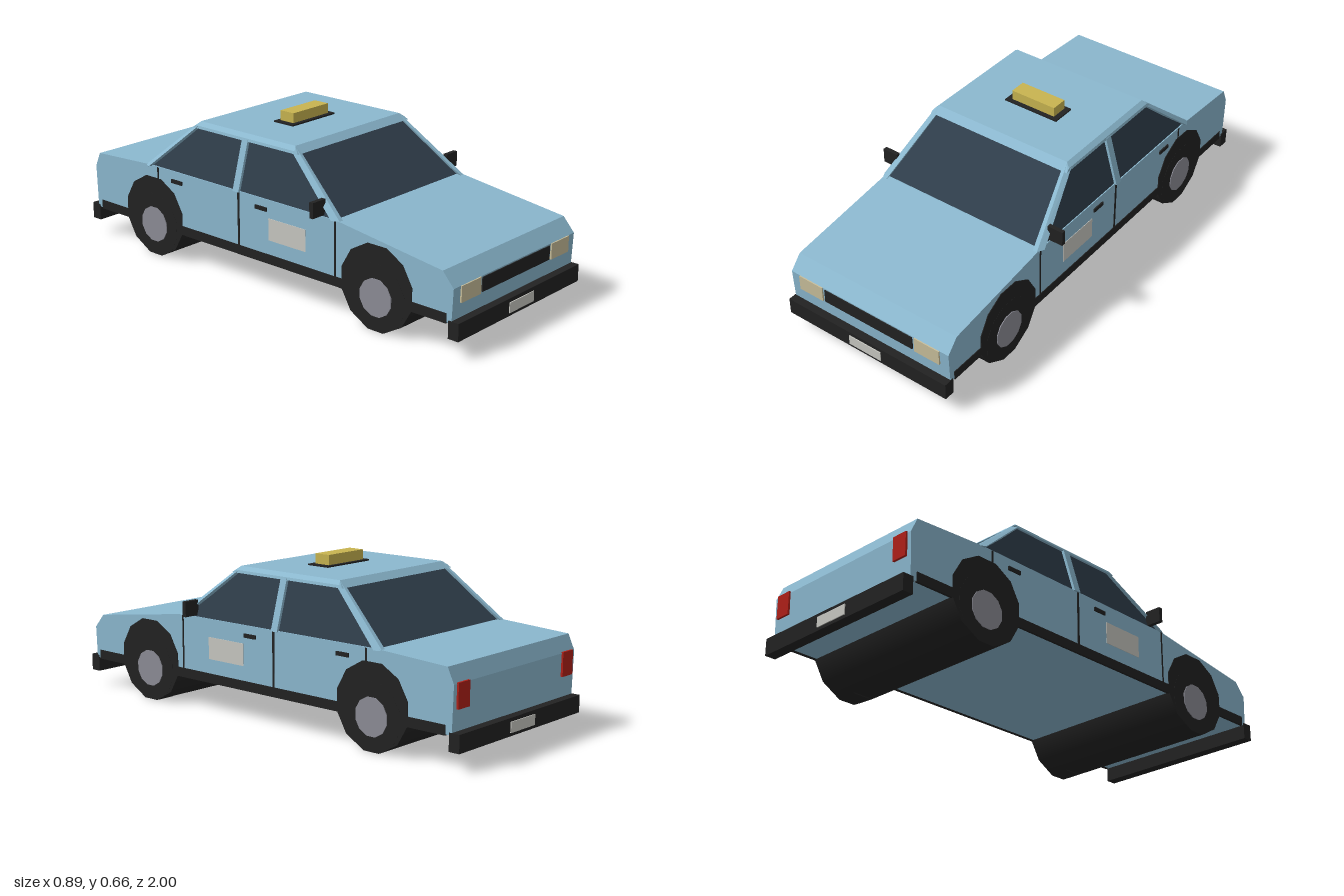
import * as THREE from 'three';
import { ConvexGeometry } from 'three/addons/geometries/ConvexGeometry.js';

const paint = (name, color) => {
  const m = new THREE.MeshStandardMaterial({ color });
  m.name = name;
  return m;
};

export function createModel() {
  const blue = paint('bodyBlue', 0x8bb8cf);
  const glass = paint('darkGlass', 0x2f3d4a);
  const black = paint('trimBlack', 0x222222);
  const yellow = paint('signYellow', 0xc8b450);
  const cream = paint('headlightCream', 0xc8be9a);
  const white = paint('plateWhite', 0xc8c8c2);
  const grey = paint('hubGrey', 0x8c8c96);
  const red = paint('tailRed', 0xb02018);

  const car = new THREE.Group();
  car.name = 'sedan';
  const add = (name, geometry, material) => {
    const mesh = new THREE.Mesh(geometry, material);
    mesh.name = name;
    car.add(mesh);
    return mesh;
  };
  // Box given by its limits on each axis
  const box = (name, mat, [x0, x1], [y0, y1], [z0, z1]) => {
    const g = new THREE.BoxGeometry(Math.abs(x1 - x0), y1 - y0, z1 - z0);
    return add(name, g.translate((x0 + x1) / 2, (y0 + y1) / 2, (z0 + z1) / 2), mat);
  };
  // Convex solid through a few corner points
  const hull = (name, mat, pts) =>
    add(name, new ConvexGeometry(pts.map((p) => new THREE.Vector3(...p))), mat);
  // The same corners on both sides of the car
  const bothX = (pts) => pts.flatMap(([x, y, z]) => [[x, y, z], [-x, y, z]]);
  // Cylinder lying across the car, with flats at top and bottom
  const axle = (name, mat, r, x0, x1, y, z) => {
    const g = new THREE.CylinderGeometry(r, r, Math.abs(x1 - x0), 12, 1, false, Math.PI / 12);
    return add(name, g.rotateZ(Math.PI / 2).translate((x0 + x1) / 2, y, z), mat);
  };

  // Lower body: side profile (z, y) swept across the width
  const W = 0.387;
  const profile = [[0.962, 0.13], [0.968, 0.265], [0.918, 0.322], [0.415, 0.39],
    [-0.61, 0.393], [-0.938, 0.376], [-0.966, 0.315], [-0.96, 0.13]];
  const shape = new THREE.Shape(profile.map((p) => new THREE.Vector2(...p)));
  const body = new THREE.ExtrudeGeometry(shape, { depth: 2 * W, bevelEnabled: false });
  add('lowerBody', body.rotateY(-Math.PI / 2).translate(W, 0, 0), blue);

  // Cabin glass and roof
  hull('cabinGlass', glass, bothX([
    [0.386, 0.38, 0.422], [0.386, 0.38, -0.63],
    [0.322, 0.6, 0.145], [0.322, 0.6, -0.37]]));
  hull('roof', blue, bothX([
    [0.315, 0.61, 0.145], [0.315, 0.61, -0.375],
    [0.334, 0.595, 0.158], [0.334, 0.595, -0.388],
    [0.337, 0.584, 0.176], [0.337, 0.584, -0.404]]));

  // Bumpers and number plates at both ends
  for (const s of [1, -1]) {
    const span = (a, b) => (s > 0 ? [a, b] : [-b, -a]);
    const end = s > 0 ? 'front' : 'rear';
    box(end + 'Bumper', black, [-0.39, 0.39], [0.07, 0.14], span(0.95, 0.996));
    box(end + 'Plate', white, [-0.078, 0.078], [0.083, 0.125], span(0.992, 1));
  }
  box('grille', black, [-0.216, 0.216], [0.203, 0.26], [0.962, 0.972]);

  for (const s of [1, -1]) {
    const side = s > 0 ? 'left' : 'right';
    const X = (a, b) => [s * a, s * b];

    // Slanted corner pillars, front and rear
    const pillar = (name, zBase, zTop, d) => hull(side + name, blue, [
      [0.4, 0.388, zBase - d * 0.03], [0.385, 0.388, zBase], [0.366, 0.388, zBase],
      [0.37, 0.388, zBase - d * 0.04],
      [0.336, 0.592, zTop - d * 0.005], [0.318, 0.606, zTop], [0.308, 0.59, zTop + d * 0.018],
      [0.312, 0.58, zTop - d * 0.01]].map(([x, y, z]) => [s * x, y, z]));
    pillar('FrontPillar', 0.432, 0.15, 1);
    pillar('RearPillar', -0.64, -0.38, -1);

    // Upright pillar between the doors
    hull(side + 'MiddlePillar', blue, [-0.09, -0.122].flatMap((z) => [
      [s * 0.395, 0.388, z], [s * 0.37, 0.388, z], [s * 0.337, 0.59, z], [s * 0.31, 0.59, z]]));

    // Sill, door gaps, handles and door panel
    box(side + 'Sill', black, X(0.38, 0.39), [0.126, 0.165], [-0.933, 0.94]);
    box(side + 'FrontDoorGap', black, X(0.382, 0.389), [0.165, 0.388], [0.409, 0.416]);
    box(side + 'MiddleDoorGap', black, X(0.382, 0.389), [0.165, 0.388], [-0.102, -0.092]);
    box(side + 'RearDoorGap', black, X(0.382, 0.389), [0.3, 0.39], [-0.57, -0.562]);
    for (const z of [0.028, -0.452])
      box(side + 'DoorHandle', black, X(0.384, 0.393), [0.342, 0.358], [z - 0.031, z + 0.031]);
    box(side + 'DoorPanel', white, X(0.382, 0.389), [0.225, 0.316], [0.067, 0.262]);

    // Mirrors and lamps
    box(side + 'Mirror', black, X(0.375, 0.445), [0.395, 0.458], [0.334, 0.352]);
    box(side + 'Headlight', cream, X(0.227, 0.345), [0.2, 0.265], [0.964, 0.973]);
    box(side + 'TailLight', red, X(0.3, 0.368), [0.223, 0.32], [-0.973, -0.964]);

    // Wheels with hubs
    for (const z of [0.615, -0.595]) {
      axle(side + 'Wheel', black, 0.139, s * 0.3, s * 0.3905, 0.135, z);
      axle(side + 'Hub', grey, 0.077, s * 0.38, s * 0.394, 0.135, z);
    }
  }

  // Wheel wells running the full width
  for (const z of [0.615, -0.595]) axle('wheelWell', black, 0.174, -0.39, 0.39, 0.173, z);

  // Roof sign on its base
  box('signBase', black, [-0.127, 0.127], [0.606, 0.616], [-0.147, -0.043]);
  box('roofSign', yellow, [-0.104, 0.104], [0.616, 0.657], [-0.132, -0.061]);

  return car;
}
